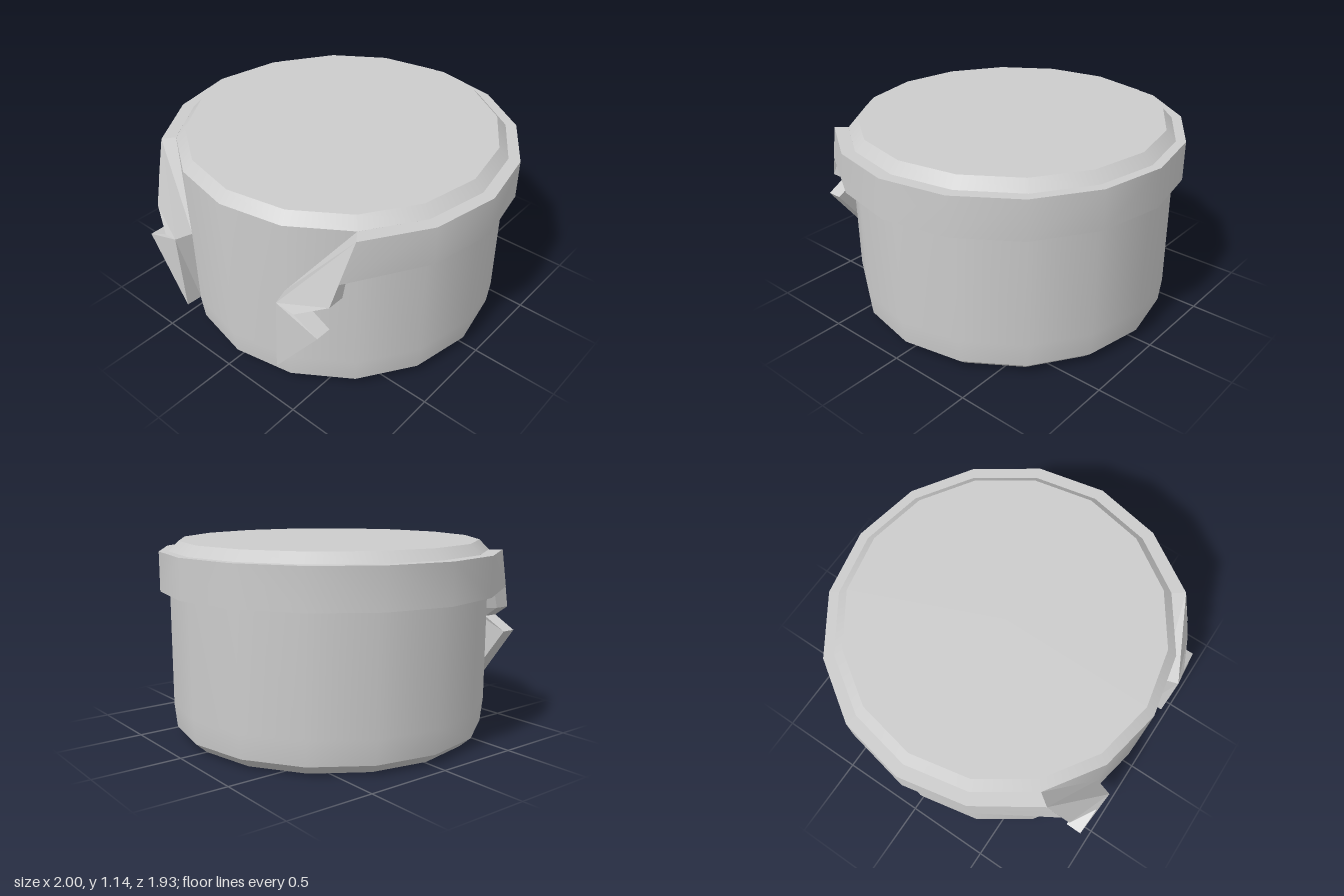
import * as THREE from 'three';
import { toCreasedNormals } from 'three/addons/utils/BufferGeometryUtils.js';

const SIDES = 16;
const BODY_R = 0.93;
const BODY_Z = 0.012;

const grey = new THREE.MeshStandardMaterial({ color: 0xcccccc });
grey.name = 'plain grey';

function addMesh(group, name, geometry) {
  const mesh = new THREE.Mesh(geometry, grey);
  mesh.name = name;
  group.add(mesh);
  return mesh;
}

function triangles(points, faces) {
  const geometry = new THREE.BufferGeometry();
  geometry.setAttribute('position', new THREE.Float32BufferAttribute(points.flat(), 3));
  geometry.setIndex(faces.flat());
  return geometry;
}

// Drum: each turned section is separate so its rims stay sharp
function createDrum() {
  const drum = new THREE.Group();
  drum.name = 'drum';
  const sections = {
    base: [[0, 0], [0.85, 0]],
    lowerBevel: [[0.85, 0], [0.915, 0.058]],
    wall: [[0.915, 0.058], [BODY_R, 0.2], [BODY_R, 1.083]],
    upperBevel: [[BODY_R, 1.083], [0.875, 1.14]],
    lidTop: [[0.875, 1.14], [0, 1.14]],
  };
  for (const [name, profile] of Object.entries(sections)) {
    const points = profile.map(([r, y]) => new THREE.Vector2(r, y));
    addMesh(drum, name, new THREE.LatheGeometry(points, SIDES));
  }
  drum.position.z = BODY_Z;
  return drum;
}

// Band: a collar round the back and sides, tapering into the two bolts
function createBandGeometry() {
  const low = 0.857, high = 1.083;
  const end = (s) => [
    [s * 0.67, low, 0.82], [s * 0.705, high, 0.735],
    [s * 0.658, high, 0.67], [s * 0.658, low, 0.67],
  ];
  const sections = [end(1)];
  for (let k = -1; k <= 9; k++) {
    const a = (k * 2 * Math.PI) / SIDES;
    const c = Math.cos(a), s = Math.sin(a);
    const outer = [c, 0.02 - 0.99 * s];
    const inner = [BODY_R * c, BODY_Z - BODY_R * s];
    sections.push([
      [outer[0], low, outer[1]], [outer[0], high, outer[1]],
      [inner[0], high, inner[1]], [inner[0], low, inner[1]],
    ]);
  }
  sections.push(end(-1));

  const faces = [];
  for (let i = 0; i < sections.length - 1; i++) {
    for (let j = 0; j < 4; j++) {
      const a = i * 4 + j, d = i * 4 + ((j + 1) % 4);
      // mirror the diagonal so both halves match
      if (i < 6) faces.push([a, a + 4, d + 4], [a, d + 4, d]);
      else faces.push([a, a + 4, d], [a + 4, d + 4, d]);
    }
  }
  const last = (sections.length - 1) * 4;
  faces.push([0, 1, 2], [0, 2, 3], [last, last + 2, last + 1], [last, last + 3, last + 2]);
  return toCreasedNormals(triangles(sections.flat(), faces), 0.5);
}

// Bolt: a zigzag slab joining a front outline to a back outline
function createBoltGeometry(side) {
  const front = [
    [0.705, 1.083, 0.735], [0.385, 0.675, 0.965], [0.36, 0.212, 0.965],
    [0.64, 0.575, 0.945], [0.49, 0.65, 0.95], [0.65, 0.73, 0.865],
  ];
  const back = [
    [0.658, 1.083, 0.67], [0.355, 0.675, 0.87], [0.355, 0.212, 0.87],
    [0.64, 0.575, 0.855], [0.49, 0.65, 0.855], [0.65, 0.73, 0.77],
  ];
  const n = front.length;
  const faces = [];
  for (const [a, b, c] of [[0, 1, 5], [1, 4, 5], [1, 2, 3], [1, 3, 4]]) {
    faces.push([a, b, c], [n + a, n + c, n + b]);
  }
  for (let i = 0; i < n; i++) {
    const j = (i + 1) % n;
    faces.push([i, n + i, n + j], [i, n + j, j]);
  }
  const points = [...front, ...back].map(([x, y, z]) => [side * x, y, z]);
  const wound = side > 0 ? faces : faces.map(([a, b, c]) => [a, c, b]);
  const geometry = triangles(points, wound).toNonIndexed();
  geometry.computeVertexNormals();
  return geometry;
}

export function createModel() {
  const model = new THREE.Group();
  model.name = 'lidded drum';
  model.add(createDrum());
  addMesh(model, 'band', createBandGeometry());
  addMesh(model, 'leftBolt', createBoltGeometry(1));
  addMesh(model, 'rightBolt', createBoltGeometry(-1));
  return model;
}
